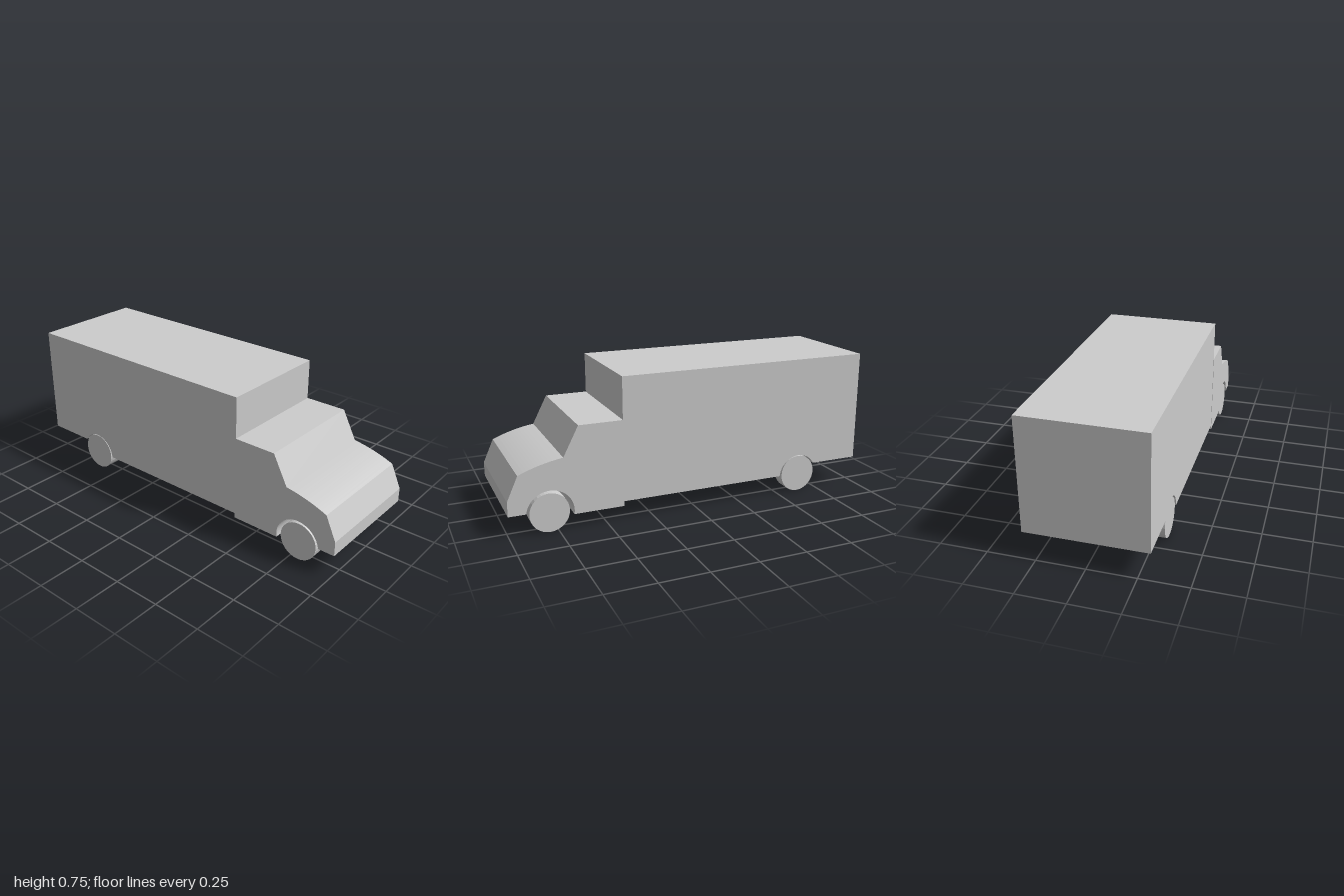
import * as THREE from 'three';

const material = new THREE.MeshStandardMaterial({ color: 0xcccccc, flatShading: true });

// Extrudes a side profile drawn in (z, y) across the given width, centred on x = 0
function extrudeAcross(name, shape, width) {
  const geometry = new THREE.ExtrudeGeometry(shape, { depth: width, bevelEnabled: false, curveSegments: 14 });
  geometry.rotateY(-Math.PI / 2).translate(width / 2, 0, 0);
  const mesh = new THREE.Mesh(geometry, material);
  mesh.name = name;
  return mesh;
}

// Runs the outline over a wheel arch, from height yBack behind it to yFront ahead of it
function addArch(shape, z, y, radius, yBack, yFront) {
  const back = Math.PI - Math.asin((yBack - y) / radius);
  const front = Math.asin((yFront - y) / radius);
  shape.absarc(z, y, radius, back, front, true);
}

function createCab() {
  const s = new THREE.Shape();
  s.moveTo(0.405, 0.534);
  s.lineTo(0.405, 0.076);
  s.lineTo(0.66, 0.076);
  addArch(s, 0.79, 0.098, 0.122, 0.076, 0.115);
  s.lineTo(1, 0.115);
  s.lineTo(1, 0.192);
  s.lineTo(0.943, 0.318);
  s.quadraticCurveTo(0.84, 0.363, 0.715, 0.38); // curved bonnet
  s.lineTo(0.635, 0.534);
  s.closePath();
  return extrudeAcross('cab', s, 0.627);
}

function createCargoBox() {
  const s = new THREE.Shape();
  s.moveTo(-1, 0.755);
  s.lineTo(-1, 0.15);
  s.lineTo(-0.74, 0.15);
  addArch(s, -0.627, 0.094, 0.115, 0.15, 0.101);
  s.lineTo(0.405, 0.101);
  s.lineTo(0.405, 0.755);
  s.closePath();
  return extrudeAcross('cargoBox', s, 0.624);
}

function createWheel(name, x0, x1, z) {
  const radius = 0.102;
  const geometry = new THREE.CylinderGeometry(radius, radius, x1 - x0, 32).rotateZ(Math.PI / 2);
  const wheel = new THREE.Mesh(geometry, material);
  wheel.position.set((x0 + x1) / 2, radius, z);
  wheel.name = name;
  return wheel;
}

export function createModel() {
  const truck = new THREE.Group();
  truck.name = 'boxTruck';
  truck.add(
    createCab(),
    createCargoBox(),
    createWheel('frontLeftWheel', 0.237, 0.309, 0.793),
    createWheel('frontRightWheel', -0.309, -0.237, 0.793),
    createWheel('rearLeftWheel', 0.237, 0.309, -0.628),
    createWheel('rearRightWheel', -0.309, -0.226, -0.628)
  );
  return truck;
}
